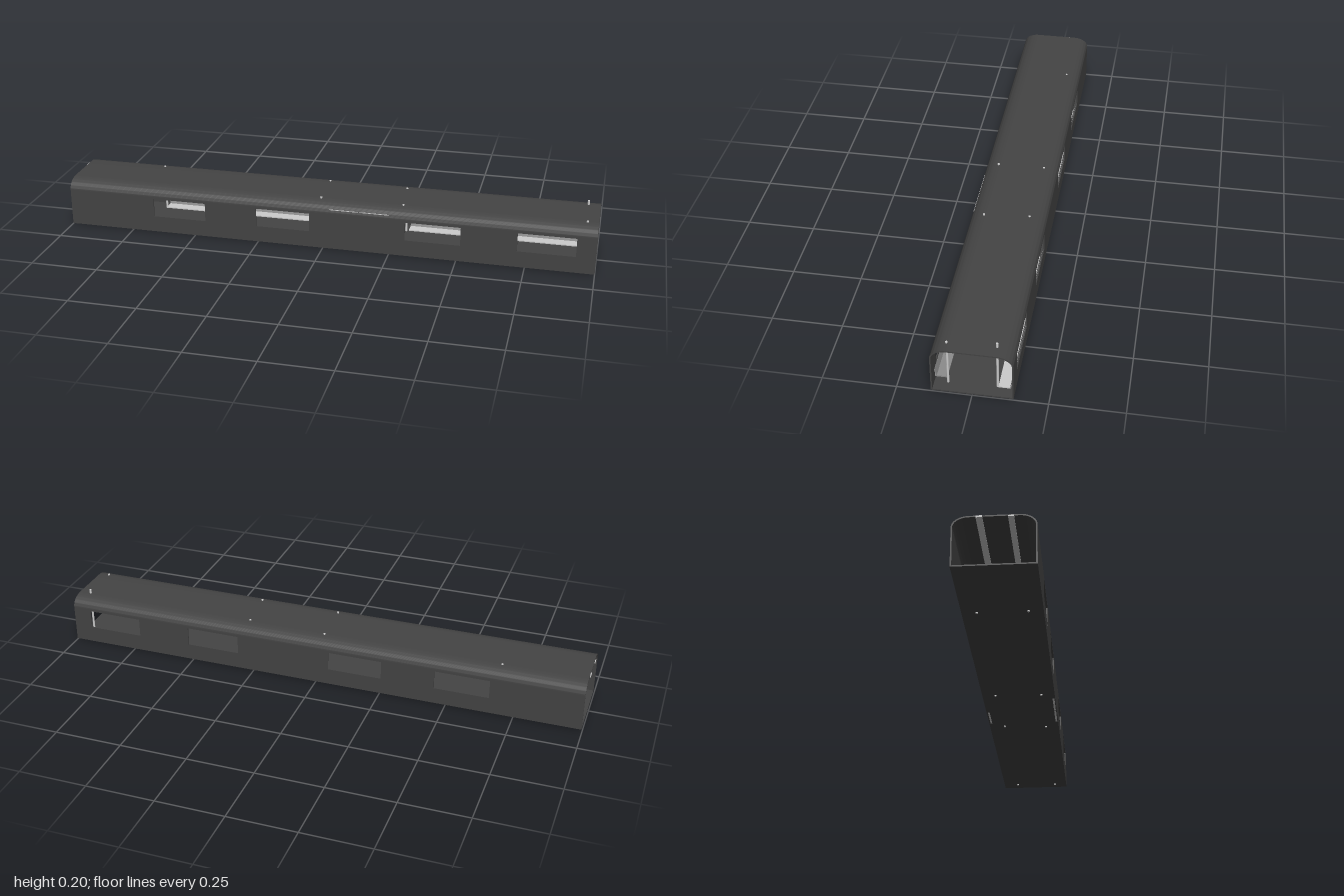
import * as THREE from 'three';
import { toCreasedNormals } from 'three/addons/utils/BufferGeometryUtils.js';

const X0 = -0.997, X1 = 1, LEN = X1 - X0, MID = (X0 + X1) / 2;
const HALF = 0.136, BASE = 0.004, SPRING = 0.145, TOP = 0.184, WALL = 0.005;

const material = (name, color) => {
  const m = new THREE.MeshStandardMaterial({ color });
  m.name = name;
  return m;
};

export function createModel() {
  const shellMat = material('dark shell', 0x444444);
  const metal = material('pale metal', 0xcccccc);
  const seatMat = material('grey seat', 0x8c8c8c);
  const model = new THREE.Group();
  model.name = 'railCarBody';

  const add = (name, geometry, mat, x = 0, y = 0, z = 0) => {
    const mesh = new THREE.Mesh(geometry, mat);
    mesh.name = name;
    mesh.position.set(x, y, z);
    model.add(mesh);
    return mesh;
  };
  const box = (name, mat, x0, x1, y0, y1, z0, z1) =>
    add(name, new THREE.BoxGeometry(x1 - x0, y1 - y0, z1 - z0), mat,
      (x0 + x1) / 2, (y0 + y1) / 2, (z0 + z1) / 2);

  // Floor
  box('floor', shellMat, X0, X1, BASE, BASE + WALL, -HALF + WALL, HALF - WALL);

  // Side walls with window openings
  const windows = [[-0.66, -0.455], [-0.255, -0.05], [0.31, 0.515], [0.72, 0.93]];
  const rect = (Type, a, b, c, d) => new Type([[a, c], [b, c], [b, d], [a, d]]
    .map(([x, y]) => new THREE.Vector2(x, y)));
  const side = rect(THREE.Shape, X0, X1, BASE, SPRING);
  for (const [a, b] of windows) side.holes.push(rect(THREE.Path, a, b, 0.066, 0.137));
  const wallGeometry = new THREE.ExtrudeGeometry(side, { depth: WALL, bevelEnabled: false });
  add('frontWall', wallGeometry, shellMat, 0, 0, HALF - WALL);
  add('backWall', wallGeometry, shellMat, 0, 0, -HALF);

  // Roof: flat crown with elliptical shoulders, extruded along the car
  const roof = new THREE.Shape();
  const rx = 0.056, ry = TOP - SPRING, c = HALF - rx;
  roof.moveTo(HALF, SPRING);
  roof.absellipse(c, SPRING, rx, ry, 0, Math.PI / 2, false);
  roof.absellipse(-c, SPRING, rx, ry, Math.PI / 2, Math.PI, false);
  roof.lineTo(-HALF + WALL, SPRING);
  roof.absellipse(-c, SPRING, rx - WALL, ry - WALL, Math.PI, Math.PI / 2, true);
  roof.absellipse(c, SPRING, rx - WALL, ry - WALL, Math.PI / 2, 0, true);
  const roofGeometry = new THREE.ExtrudeGeometry(roof, { depth: LEN, bevelEnabled: false, curveSegments: 16 });
  roofGeometry.rotateY(Math.PI / 2);
  add('roof', toCreasedNormals(roofGeometry, 0.5), shellMat, X0);

  // Sliding door leaves set against the inside of each wall
  for (const [a, b] of [[0.025, 0.134], [0.14, 0.25]]) {
    box('frontDoor', metal, a, b, 0.003, 0.16, 0.126, 0.133);
    box('backDoor', metal, a, b, 0.004, 0.153, -0.131, -0.124);
  }

  // Grab poles: x, z, top height
  const poles = [
    [-0.69, -0.085, 0.186], [-0.02, -0.086, 0.186], [0.28, -0.077, 0.186], [0.955, -0.077, 0.2],
    [-0.69, 0.086, 0.182], [-0.015, 0.086, 0.188], [0.295, 0.086, 0.188], [0.96, 0.086, 0.188],
  ];
  for (const [x, z, top] of poles)
    add('grabPole', new THREE.CylinderGeometry(0.0042, 0.0042, top, 12), metal, x, top / 2, z);

  // Long benches with leaning backrests
  for (const [a, b] of [[-0.69, -0.015], [0.29, 0.96]]) {
    const mid = (a + b) / 2;
    box('frontSeat', seatMat, a, b, 0.027, 0.032, 0.088, 0.13);
    add('frontBackrest', new THREE.BoxGeometry(b - a, 0.028, 0.003), seatMat, mid, 0.044, 0.128).rotation.x = 0.26;
    box('backSeat', metal, a, b, 0.009, 0.013, -0.12, -0.08);
    add('backBackrest', new THREE.BoxGeometry(b - a, 0.027, 0.003), seatMat, mid, 0.026, -0.1235).rotation.x = -0.28;
  }

  // Ceiling light strips
  box('frontCeilingLight', metal, -1, 0.99, 0.175, 0.18, 0.044, 0.063);
  box('backCeilingLight', metal, -1, 0.99, 0.176, 0.183, -0.058, -0.037);
  return model;
}
